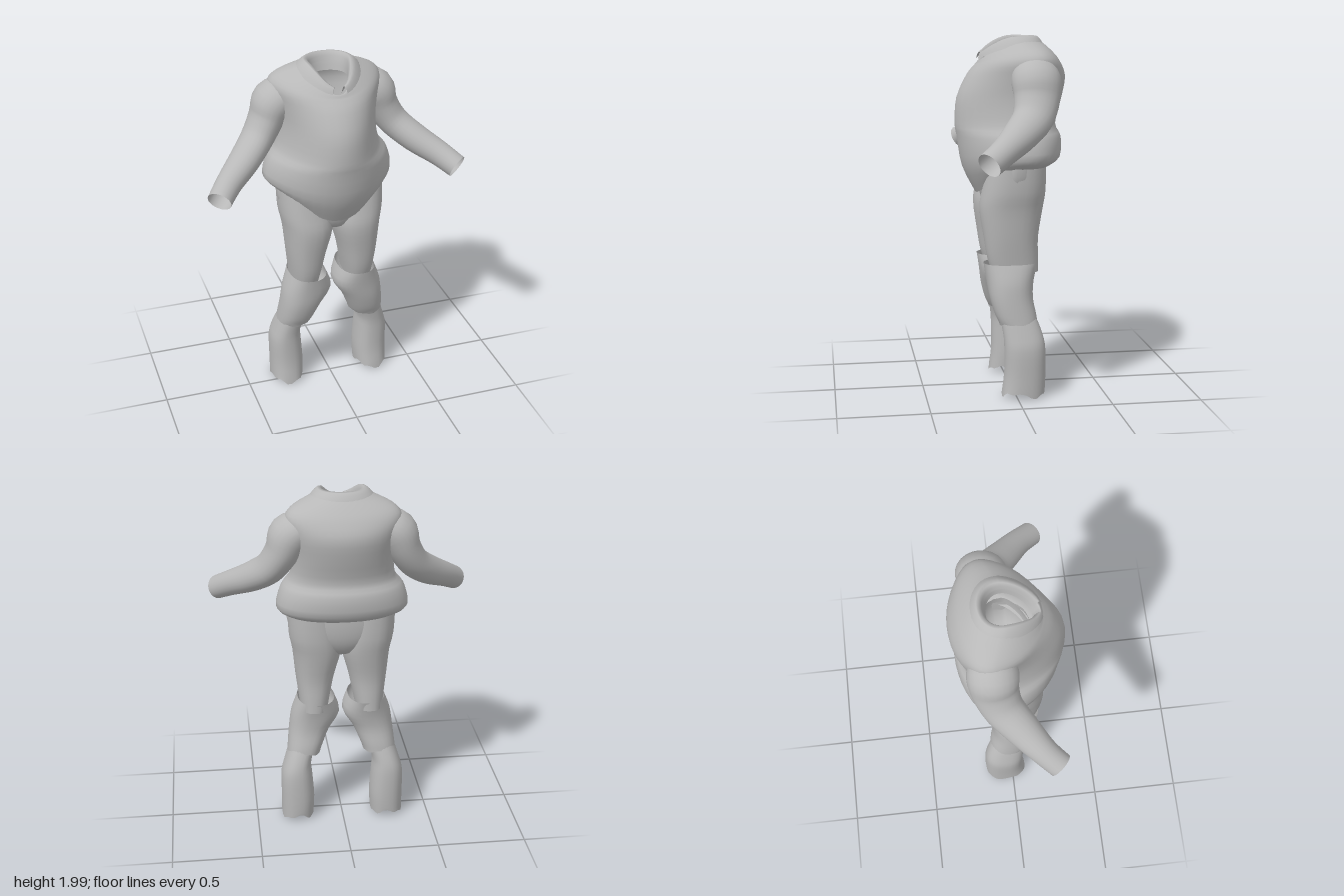
import * as THREE from 'three';

const cloth = new THREE.MeshStandardMaterial({ color: 0xb8b8b8, side: THREE.DoubleSide });
cloth.name = 'grey cloth';

// Smooth a short table of cross-section numbers into a finer one
function refine(table, steps) {
  const out = [];
  const at = i => table[Math.max(0, Math.min(table.length - 1, i))];
  for (let i = 0; i < table.length - 1; i++) {
    for (let k = 0; k < steps; k++) {
      const t = k / steps;
      out.push(at(i).map((b, c) => {
        const a = at(i - 1)[c], d = at(i + 1)[c], e = at(i + 2)[c];
        return 0.5 * (2 * b + (d - a) * t + (2 * a - 5 * b + 4 * d - e) * t * t + (3 * b - a - 3 * d + e) * t * t * t);
      }));
    }
  }
  out.push(table[table.length - 1]);
  return out;
}

// Skin a surface over rows of points; side = -1 mirrors it in x
function loft(name, rows, { closed = true, side = 1 } = {}) {
  const n = rows[0].length, pos = [], idx = [];
  rows.forEach(r => r.forEach(p => pos.push(p.x * side, p.y, p.z)));
  for (let i = 0; i < rows.length - 1; i++) {
    for (let j = 0; j < (closed ? n : n - 1); j++) {
      const a = i * n + j, b = i * n + (j + 1) % n, c = a + n, d = b + n;
      if (side > 0) idx.push(a, c, b, b, c, d);
      else idx.push(a, b, c, b, d, c);
    }
  }
  const g = new THREE.BufferGeometry();
  g.setAttribute('position', new THREE.Float32BufferAttribute(pos, 3));
  g.setIndex(idx);
  g.computeVertexNormals();
  const mesh = new THREE.Mesh(g, cloth);
  mesh.name = name;
  return mesh;
}

const angles = (n, from = 0, to = Math.PI * 2, ends = false) =>
  Array.from({ length: n }, (_, j) => from + (to - from) * j / (ends ? n - 1 : n));

// Torso ring: [y, half width, front z, back z, widest z, front dip], keeled in front
function torsoRing([y, hw, zf, zb, zc, dip], list) {
  return list.map(a => {
    const s = Math.sin(a), m = Math.abs(s);
    const z = s > 0 ? zc + (zf - zc) * m ** 1.3 : zc + (zb - zc) * m ** 0.85;
    return new THREE.Vector3(hw * Math.cos(a), y - (s > 0 ? dip * m ** 2.5 : 0), z);
  });
}

// Leg ring: [y, inner x, outer x, front z, back z], with an optional ragged amount
function legRing([y, xi, xo, zf, zb], ragged = 0) {
  return angles(28).map(a => {
    const c = Math.cos(a), s = Math.sin(a);
    const round = v => Math.sign(v) * Math.abs(v) ** 0.85;
    return new THREE.Vector3(
      (xi + xo) / 2 + round(c) * (xo - xi) / 2,
      y + ragged * (Math.sin(3 * a) + 0.6 * Math.sin(7 * a + 1)),
      (zf + zb) / 2 + round(s) * (zf - zb) / 2);
  });
}

// Sleeve: [x, y, z, depth radius, thickness radius] along the arm
function sleeve(side) {
  const t = refine([
    [0.21, 1.80, -0.10, 0.12, 0.09],
    [0.285, 1.765, -0.105, 0.135, 0.115],
    [0.33, 1.67, -0.10, 0.125, 0.095],
    [0.395, 1.57, -0.065, 0.11, 0.085],
    [0.49, 1.49, 0.02, 0.095, 0.08],
    [0.60, 1.42, 0.12, 0.075, 0.07],
    [0.675, 1.365, 0.205, 0.07, 0.065],
  ], 4);
  const centre = t.map(r => new THREE.Vector3(r[0], r[1], r[2]));
  const rows = t.map((r, i) => {
    const dir = centre[Math.min(i + 1, t.length - 1)].clone().sub(centre[Math.max(i - 1, 0)]).normalize();
    const u = new THREE.Vector3(0, 0, 1).addScaledVector(dir, -dir.z).normalize();
    const v = u.clone().cross(dir);
    return angles(24).map(a => centre[i].clone()
      .addScaledVector(u, r[3] * Math.cos(a)).addScaledVector(v, r[4] * Math.sin(a)));
  });
  return loft('sleeve', rows, { side });
}

export function createModel() {
  const model = new THREE.Group();
  model.name = 'clothing';

  // Shirt body, from the hem up over the shoulders and into the neck opening
  const shirt = refine([
    [1.29, 0.305, 0.19, -0.22, -0.04, 0.16],
    [1.34, 0.365, 0.265, -0.28, -0.05, 0.06],
    [1.45, 0.34, 0.295, -0.285, -0.05, 0],
    [1.52, 0.29, 0.305, -0.255, -0.06, 0],
    [1.66, 0.275, 0.295, -0.29, -0.09, 0],
    [1.78, 0.295, 0.24, -0.31, -0.10, 0],
    [1.865, 0.315, 0.195, -0.275, -0.11, 0.03],
    [1.92, 0.27, 0.18, -0.23, -0.10, 0.07],
    [1.965, 0.17, 0.17, -0.18, -0.06, 0.10],
    [1.985, 0.115, 0.16, -0.14, -0.03, 0.13],
    [1.90, 0.10, 0.13, -0.11, -0.02, 0.10],
  ], 3);
  model.add(loft('shirtBody', shirt.map(r => torsoRing(r, angles(40)))));

  // Folded collar, open at the front
  const open = angles(36, Math.PI / 2 + 0.22, Math.PI * 2.5 - 0.22, true);
  const collar = refine([
    [1.945, 0.185, 0.185, -0.195, -0.05, 0.075],
    [1.985, 0.15, 0.175, -0.17, -0.04, 0.085],
    [2.0, 0.115, 0.16, -0.14, -0.03, 0.10],
    [1.95, 0.10, 0.14, -0.12, -0.02, 0.09],
  ], 2);
  model.add(loft('collar', collar.map(r => torsoRing(r, open)), { closed: false }));

  // Seat of the trousers, closing at the crotch
  const seat = refine([
    [1.02, 0.02, 0.03, -0.03, 0, 0],
    [1.06, 0.14, 0.13, -0.12, 0, 0],
    [1.14, 0.26, 0.17, -0.17, 0, 0],
    [1.25, 0.305, 0.185, -0.185, 0, 0],
    [1.38, 0.30, 0.16, -0.18, 0, 0],
  ], 3);
  model.add(loft('trouserSeat', seat.map(r => torsoRing(r, angles(36)))));

  // Trouser leg sections, bottom to top
  const thigh = refine([
    [0.70, 0.08, 0.235, 0.12, -0.14],
    [0.78, 0.065, 0.245, 0.145, -0.14],
    [0.90, 0.04, 0.26, 0.165, -0.14],
    [1.05, 0.0, 0.275, 0.185, -0.165],
    [1.16, 0.0, 0.295, 0.17, -0.18],
    [1.32, 0.02, 0.30, 0.14, -0.18],
  ], 3);
  const knee = refine([
    [0.42, 0.125, 0.315, 0.085, -0.125],
    [0.47, 0.105, 0.31, 0.11, -0.12],
    [0.56, 0.065, 0.30, 0.135, -0.105],
    [0.655, 0.01, 0.285, 0.15, -0.115],
    [0.75, 0.04, 0.25, 0.165, -0.14],
  ], 3);
  const shin = refine([
    [0.03, 0.17, 0.355, 0.08, -0.16],
    [0.14, 0.165, 0.355, 0.065, -0.165],
    [0.28, 0.175, 0.355, 0.065, -0.163],
    [0.36, 0.18, 0.335, 0.07, -0.15],
    [0.45, 0.155, 0.305, 0.085, -0.118],
  ], 3);

  for (const side of [1, -1]) {
    const limb = new THREE.Group();
    limb.name = side > 0 ? 'leftSide' : 'rightSide';
    limb.add(
      sleeve(side),
      loft('trouserThigh', thigh.map(r => legRing(r)), { side }),
      loft('kneeSection', knee.map((r, i) => legRing(r, i === 0 ? 0.006 : 0)), { side }),
      loft('shinSection', shin.map((r, i) => legRing(r, i === 0 ? 0.014 : 0)), { side }));
    model.add(limb);
  }
  return model;
}
